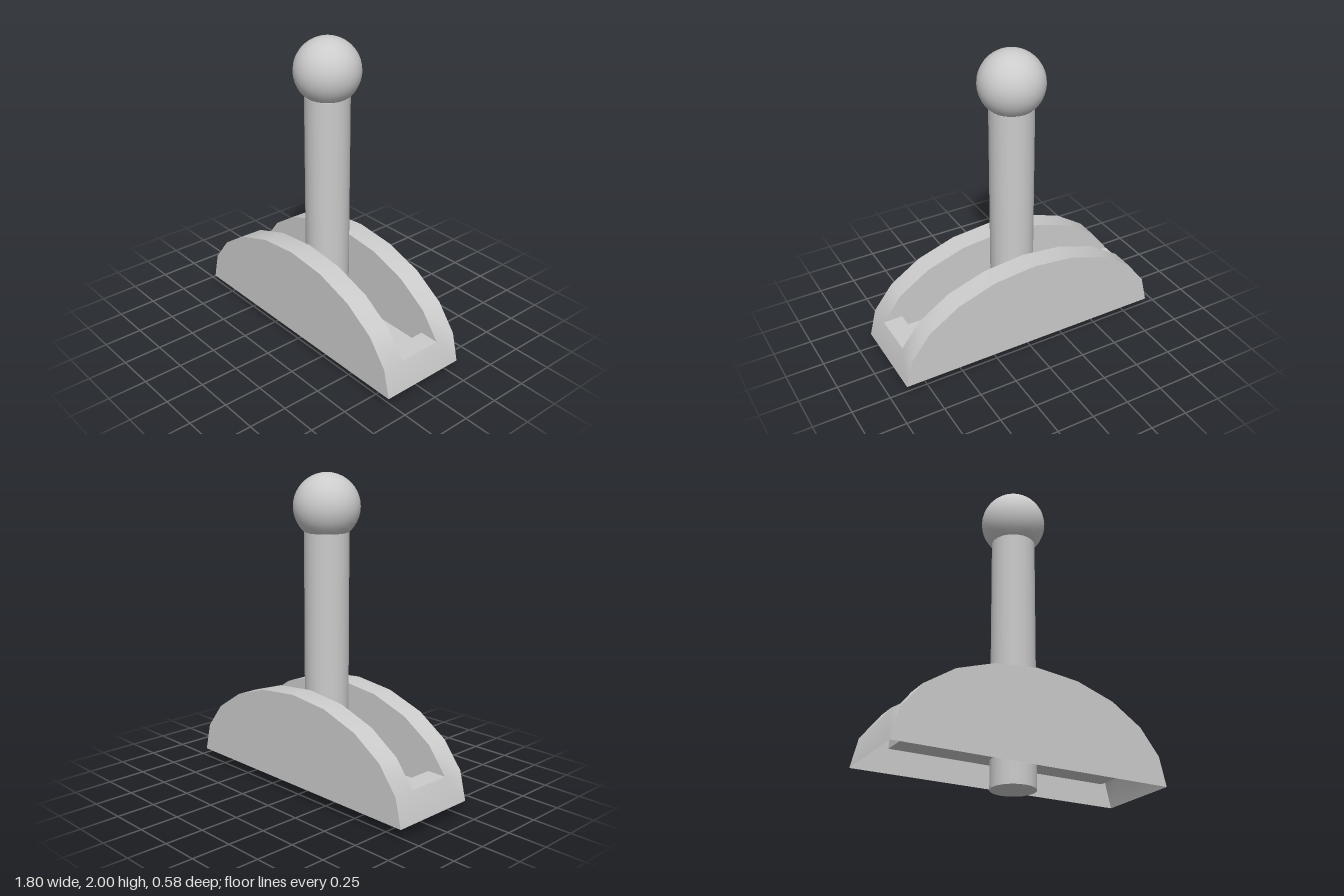
import * as THREE from 'three';

const material = new THREE.MeshStandardMaterial({ color: 0xcccccc, side: THREE.DoubleSide });

// Half-ellipse housing profile, from +x over the top to -x
const BASE_Y = 0.075, HALF_DEPTH = 0.29, SLOT = 0.145, STEPS = 10;
const arc = Array.from({ length: STEPS + 1 }, (_, i) => {
  const a = (Math.PI * i) / STEPS;
  return new THREE.Vector2(0.9 * Math.cos(a), BASE_Y + 0.59 * Math.sin(a));
});
const LEDGE_Y = arc[1].y, TRAY_X = arc[2].x, TRAY_Y = 0.175;

function add(parent, name, geometry, x = 0, y = 0, z = 0) {
  const mesh = new THREE.Mesh(geometry, material);
  mesh.name = name;
  mesh.position.set(x, y, z);
  parent.add(mesh);
  return mesh;
}

// Curved cover strip, leaving the slot open between the two lowest segments
function coverGeometry() {
  const columns = [-HALF_DEPTH, -SLOT, SLOT, HALF_DEPTH];
  const positions = [], index = [];
  for (const p of arc) for (const z of columns) positions.push(p.x, p.y, z);
  for (let i = 0; i < STEPS; i++) {
    for (let j = 0; j < 3; j++) {
      if (j === 1 && i > 0 && i < STEPS - 1) continue;
      const a = i * 4 + j, b = a + 4;
      index.push(a, b, b + 1, a, b + 1, a + 1);
    }
  }
  const geometry = new THREE.BufferGeometry();
  geometry.setAttribute('position', new THREE.Float32BufferAttribute(positions, 3));
  geometry.setIndex(index);
  geometry.computeVertexNormals();
  return geometry;
}

export function createModel() {
  const model = new THREE.Group();
  model.name = 'lever';

  // Hollow housing, open underneath
  const housing = new THREE.Group();
  housing.name = 'housing';
  model.add(housing);
  add(housing, 'curvedCover', coverGeometry());

  const sideShape = new THREE.Shape(arc);
  const slotShape = new THREE.Shape([
    ...arc.slice(1, STEPS),
    new THREE.Vector2(-TRAY_X, LEDGE_Y),
    new THREE.Vector2(-TRAY_X, TRAY_Y),
    new THREE.Vector2(TRAY_X, TRAY_Y),
    new THREE.Vector2(TRAY_X, LEDGE_Y),
  ]);
  for (const s of [1, -1]) {
    const facing = s > 0 ? 0 : Math.PI;
    add(housing, s > 0 ? 'frontPanel' : 'backPanel',
      new THREE.ShapeGeometry(sideShape), 0, 0, s * HALF_DEPTH).rotation.y = facing;
    // Slot walls face inwards
    add(housing, s > 0 ? 'frontSlotWall' : 'backSlotWall',
      new THREE.ShapeGeometry(slotShape), 0, 0, s * SLOT).rotation.y = Math.PI - facing;

    // Ledge and step at each end of the slot
    const ledgeWidth = arc[1].x - TRAY_X;
    add(housing, s > 0 ? 'leftLedge' : 'rightLedge',
      new THREE.PlaneGeometry(ledgeWidth, 2 * SLOT),
      s * (TRAY_X + ledgeWidth / 2), LEDGE_Y).rotation.x = -Math.PI / 2;
    add(housing, s > 0 ? 'leftStep' : 'rightStep',
      new THREE.PlaneGeometry(2 * SLOT, LEDGE_Y - TRAY_Y),
      s * TRAY_X, (LEDGE_Y + TRAY_Y) / 2).rotation.y = -s * Math.PI / 2;
  }
  add(housing, 'slotFloor', new THREE.PlaneGeometry(2 * TRAY_X, 2 * SLOT), 0, TRAY_Y)
    .rotation.x = -Math.PI / 2;

  // Stick and knob
  add(model, 'stick', new THREE.CylinderGeometry(0.14, 0.14, 1.64, 20), 0, 0.82);
  add(model, 'knob', new THREE.SphereGeometry(0.206, 32, 20), 0, 1.794);
  return model;
}
